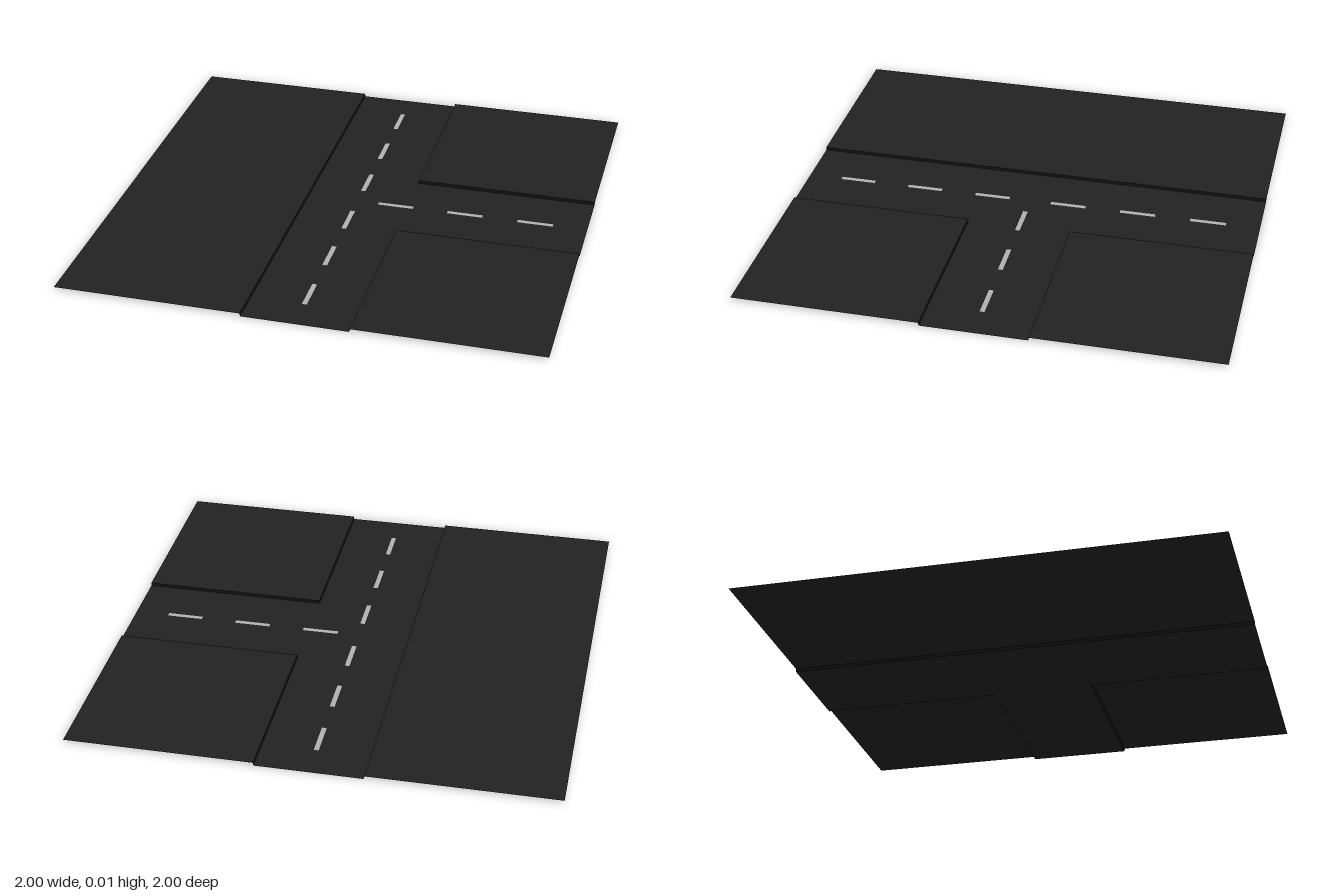
import * as THREE from 'three';

const HALF = 1;      // tile half size
const ROAD = 0.22;   // road half width
const KERB = 0.013;  // pavement height
const SLOPE = 0.002; // slight lean of the kerb face

export function createModel() {
  const asphalt = new THREE.MeshStandardMaterial({ color: 0x222222, side: THREE.DoubleSide });
  asphalt.name = 'asphalt';
  const kerbBlack = new THREE.MeshStandardMaterial({ color: 0x101010, side: THREE.DoubleSide });
  kerbBlack.name = 'kerb black';
  const paint = new THREE.MeshStandardMaterial({ color: 0xb0b0b0 });
  paint.name = 'road paint';

  const group = new THREE.Group();
  group.name = 'roadJunction';

  // Flat sheet facing up, spanning x0..x1 and z0..z1
  const sheet = (name, material, x0, x1, z0, z1, y) => {
    const geometry = new THREE.PlaneGeometry(x1 - x0, z1 - z0).rotateX(-Math.PI / 2);
    const mesh = new THREE.Mesh(geometry, material);
    mesh.position.set((x0 + x1) / 2, y, (z0 + z1) / 2);
    mesh.name = name;
    group.add(mesh);
  };

  // Kerb face between a lower and an upper edge, given as [x, z] pairs
  const kerb = (name, low0, low1, high0, high1) => {
    const geometry = new THREE.BufferGeometry();
    geometry.setAttribute('position', new THREE.Float32BufferAttribute([
      low0[0], 0, low0[1], low1[0], 0, low1[1],
      high1[0], KERB, high1[1], high0[0], KERB, high0[1],
    ], 3));
    geometry.setIndex([0, 1, 2, 0, 2, 3]);
    geometry.computeVertexNormals();
    const mesh = new THREE.Mesh(geometry, kerbBlack);
    mesh.name = name;
    group.add(mesh);
  };

  // Through road and side road
  sheet('mainRoad', asphalt, -ROAD, ROAD, -HALF, HALF, 0);
  sheet('sideRoad', asphalt, ROAD, HALF, -ROAD, ROAD, 0);

  // Long pavement opposite the side road
  const edge = ROAD + SLOPE;
  sheet('longPavement', asphalt, -HALF, -edge, -HALF, HALF, KERB);
  kerb('longKerb', [-ROAD, HALF], [-ROAD, -HALF], [-edge, HALF], [-edge, -HALF]);

  // Two corner pavements, mirrored front to back
  for (const s of [-1, 1]) {
    sheet('cornerPavement', asphalt, edge, HALF, s < 0 ? -HALF : edge, s < 0 ? -edge : HALF, KERB);
    const main = [[ROAD, s * ROAD], [ROAD, s * HALF], [edge, s * edge], [edge, s * HALF]];
    const side = [[HALF, s * ROAD], [ROAD, s * ROAD], [HALF, s * edge], [edge, s * edge]];
    // Swap the ends on the back corner so that every face looks at the road
    const order = s < 0 ? [1, 0, 3, 2] : [0, 1, 2, 3];
    kerb('mainRoadKerb', ...order.map((i) => main[i]));
    kerb('sideRoadKerb', ...order.map((i) => side[i]));
  }

  // Dashed centre lines
  const W = 0.01, L = 0.077, Y = 0.001;
  for (const c of [0.168, 0.473, 0.778]) {
    for (const s of [-1, 1]) sheet('mainRoadDash', paint, -W, W, s * c - L, s * c + L, Y);
    sheet('sideRoadDash', paint, c - L, c + L, -W, W, Y);
  }

  return group;
}
